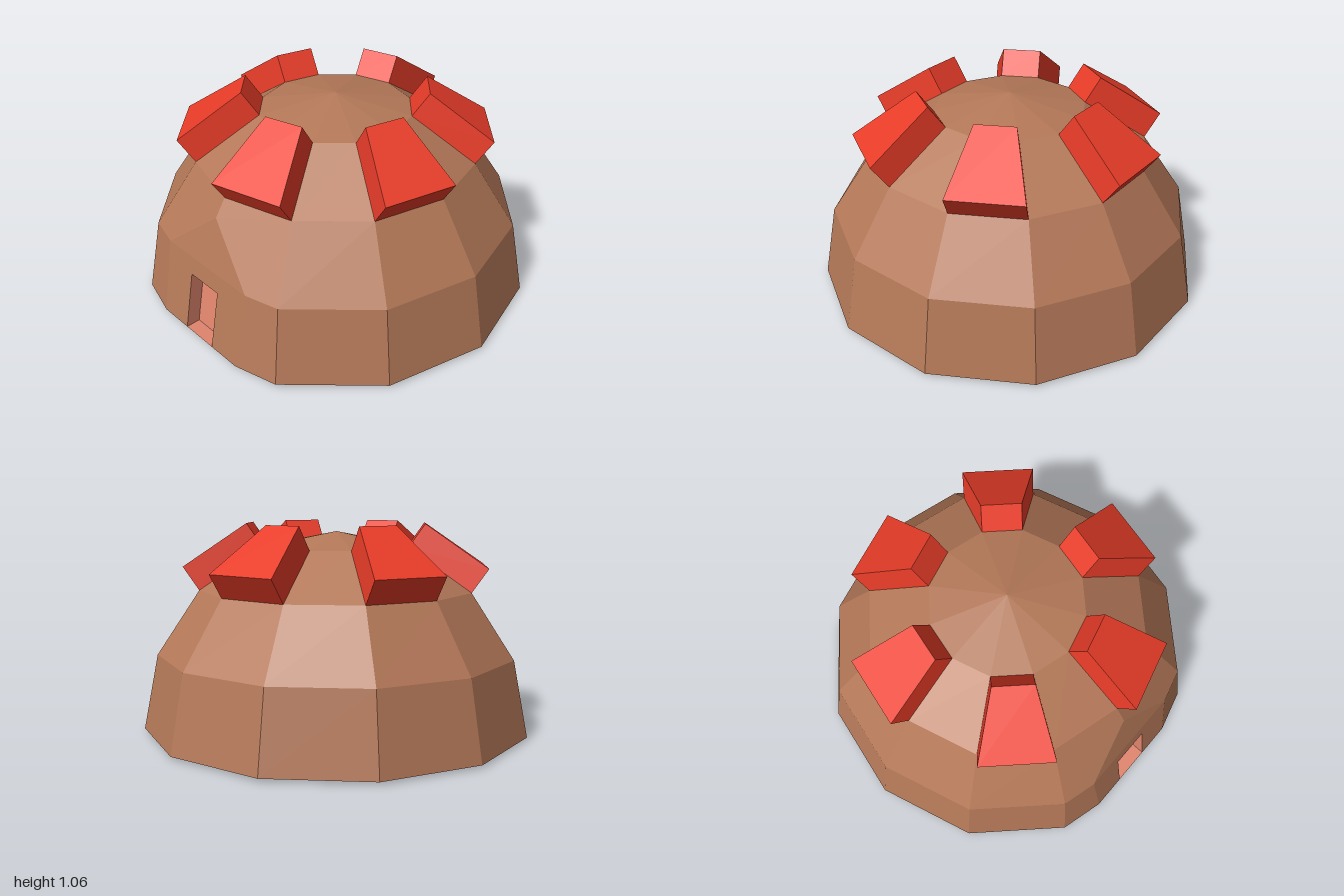
import * as THREE from 'three';

const BASE_Y = 0.014, CENTRE_Z = 0.035, SEGMENTS = 12;
const STEP = (Math.PI * 2) / SEGMENTS;

// Flat-shaded geometry from convex polygons, corners counter-clockwise from outside
function facesGeometry(faces) {
  const pos = [];
  for (const f of faces) {
    for (let i = 1; i < f.length - 1; i++) {
      for (const p of [f[0], f[i], f[i + 1]]) pos.push(...p);
    }
  }
  const g = new THREE.BufferGeometry();
  g.setAttribute('position', new THREE.Float32BufferAttribute(pos, 3));
  g.computeVertexNormals();
  return g;
}

// Corner of the faceted dome: ring 0 is the ground, ring 4 the apex; segment 0 faces front
function domePoint(ring, seg) {
  const e = (ring * Math.PI) / 8, a = seg * STEP;
  return [Math.cos(e) * Math.sin(a), BASE_Y + Math.sin(e), CENTRE_Z + Math.cos(e) * Math.cos(a)];
}

export function createModel() {
  const group = new THREE.Group();
  group.name = 'domeHut';
  const clay = new THREE.MeshStandardMaterial({ color: 0xb47858, flatShading: true });
  clay.name = 'brownClay';
  const pink = new THREE.MeshStandardMaterial({ color: 0xe0846c, flatShading: true, side: THREE.DoubleSide });
  pink.name = 'pinkClay';
  const red = new THREE.MeshStandardMaterial({ color: 0xe83c28, flatShading: true });
  red.name = 'redPanel';

  const add = (name, geometry, material, parent = group) => {
    const mesh = new THREE.Mesh(geometry, material);
    mesh.name = name;
    parent.add(mesh);
    return mesh;
  };

  // Dome shell, leaving out the two front segments of the lower rings
  const shell = [];
  for (let ring = 0; ring < 4; ring++) {
    for (let s = 0; s < SEGMENTS; s++) {
      if (ring < 2 && (s === 0 || s === SEGMENTS - 1)) continue;
      const f = [domePoint(ring, s), domePoint(ring, s + 1)];
      if (ring < 3) f.push(domePoint(ring + 1, s + 1), domePoint(ring + 1, s));
      else f.push(domePoint(4, 0));
      shell.push(f);
    }
  }

  // Flattened front: facets either side of the doorway panel
  const topY = domePoint(1, 0)[1];
  const low = [0.28, BASE_Y, 0.96], high = [0.29, topY, 0.881], tip = [0, 0.635, 0.8];
  const mirror = ([x, y, z]) => [-x, y, z];
  const sideFaces = [
    [low, domePoint(0, 1), domePoint(1, 1), high],
    [domePoint(2, 1), domePoint(2, 0), tip, high, domePoint(1, 1)],
  ];
  for (const f of sideFaces) shell.push(f, f.map(mirror).reverse());
  shell.push([mirror(high), high, tip]);
  add('domeShell', facesGeometry(shell), clay);

  // Underside
  const rim = [low];
  for (let s = 1; s < SEGMENTS; s++) rim.push(domePoint(0, s));
  rim.push(mirror(low));
  add('base', facesGeometry([rim.reverse()]), pink);

  // Sloping front panel with a doorway notch
  const doorway = new THREE.Group();
  doorway.name = 'doorway';
  doorway.position.set(0, BASE_Y, 0.96);
  const rise = topY - BASE_Y, lean = 0.96 - high[2];
  doorway.rotation.x = -Math.atan2(lean, rise);
  group.add(doorway);
  const w = 0.1, h = 0.3, d = 0.07, len = Math.hypot(rise, lean);
  const outline = [[-0.28, 0], [-w, 0], [-w, h], [w, h], [w, 0], [0.28, 0], [0.29, len], [-0.29, len]];
  const panel = new THREE.Shape(outline.map(([x, y]) => new THREE.Vector2(x, y)));
  add('frontPanel', new THREE.ShapeGeometry(panel), clay, doorway);

  // Door recess: back, sides, floor and ceiling
  add('doorRecess', facesGeometry([
    [[-w, 0, -d], [w, 0, -d], [w, h, -d], [-w, h, -d]],
    [[-w, 0, 0], [-w, 0, -d], [-w, h, -d], [-w, h, 0]],
    [[w, 0, -d], [w, 0, 0], [w, h, 0], [w, h, -d]],
    [[-w, 0, 0], [w, 0, 0], [w, 0, -d], [-w, 0, -d]],
    [[-w, h, -d], [w, h, -d], [w, h, 0], [-w, h, 0]],
  ]), pink, doorway);

  // Raised panels: every other facet of the third ring pushed out along its normal
  for (let s = 0; s < SEGMENTS; s += 2) {
    const foot = [domePoint(2, s), domePoint(2, s + 1), domePoint(3, s + 1), domePoint(3, s)];
    const v = foot.map((p) => new THREE.Vector3(...p));
    const n = v[1].clone().sub(v[0]).cross(v[3].clone().sub(v[0])).setLength(0.145);
    const top = v.map((p) => p.clone().add(n).toArray());
    const faces = [top];
    for (let i = 0; i < 4; i++) {
      const j = (i + 1) % 4;
      faces.push([foot[i], foot[j], top[j], top[i]]);
    }
    add('roofPanel' + (s / 2 + 1), facesGeometry(faces), red);
  }

  return group;
}
